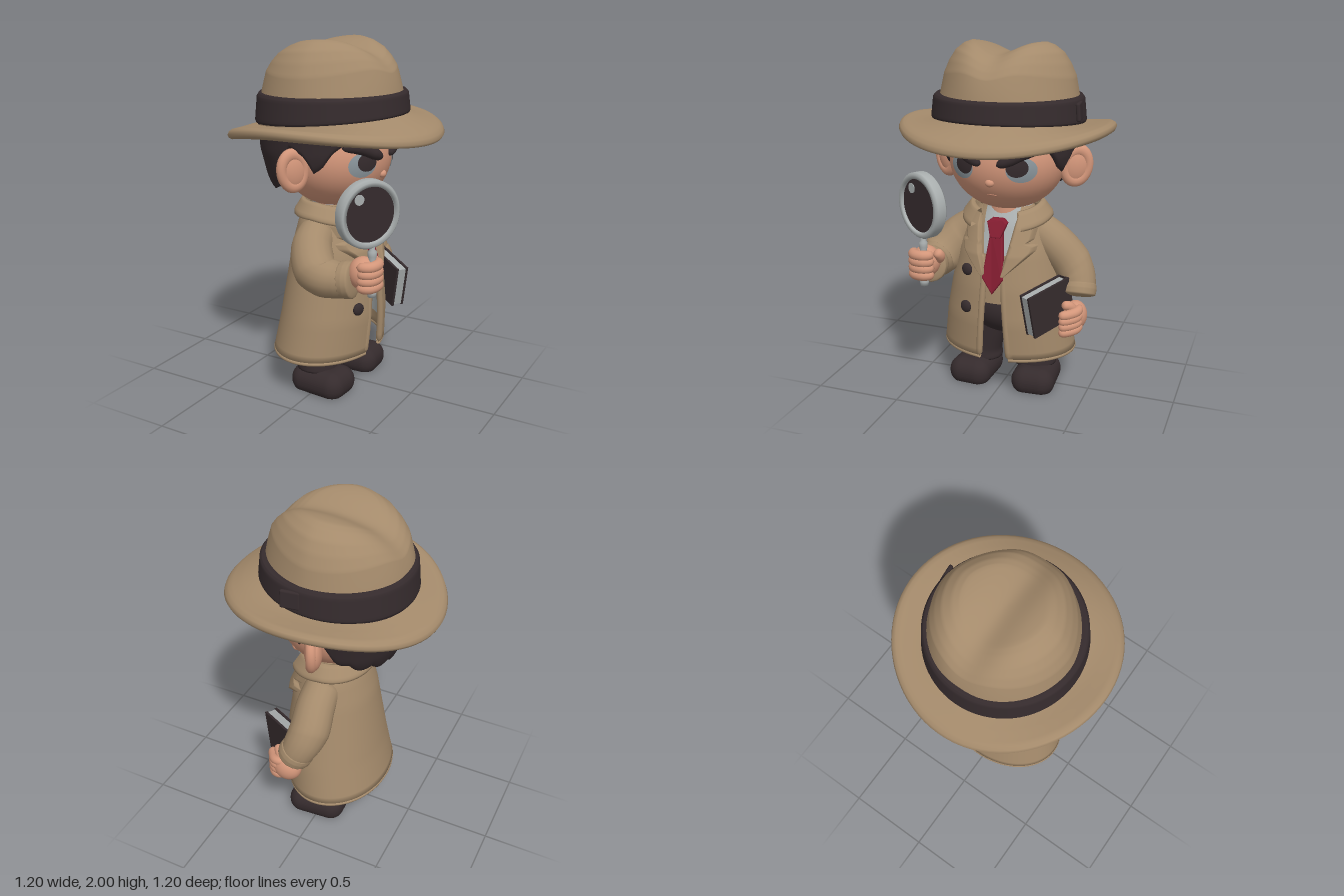
import * as THREE from 'three';
import { mergeVertices } from 'three/addons/utils/BufferGeometryUtils.js';
import { RoundedBoxGeometry } from 'three/addons/geometries/RoundedBoxGeometry.js';

const mat = (name, color) => new THREE.MeshStandardMaterial({ name, color, side: THREE.DoubleSide });
const { sin, cos, sqrt, min, max, abs, PI } = Math;

// Grid surface from a rule (u, v) -> [x, y, z]
function surf(fn, nu = 48, nv = 16) {
  const pos = [], idx = [];
  for (let j = 0; j <= nv; j++) for (let i = 0; i <= nu; i++) pos.push(...fn(i / nu, j / nv));
  for (let j = 0; j < nv; j++) for (let i = 0; i < nu; i++) {
    const a = j * (nu + 1) + i, b = a + nu + 1;
    idx.push(a, b, a + 1, b, b + 1, a + 1);
  }
  const g = new THREE.BufferGeometry();
  g.setAttribute('position', new THREE.Float32BufferAttribute(pos, 3));
  g.setIndex(idx);
  const m = mergeVertices(g, 1e-5);
  m.computeVertexNormals();
  return m;
}

// Linear lookup in rows sorted by their first column
function pick(rows, t) {
  let k = 0;
  while (k < rows.length - 2 && t > rows[k + 1][0]) k++;
  const a = rows[k], b = rows[k + 1], f = min(1, max(0, (t - a[0]) / (b[0] - a[0])));
  return a.map((v, i) => v + (b[i] - v) * f);
}

// Rounded limb through points [x, y, z, radius]
function limb(pts, end = 0.12, n = 24) {
  const curve = new THREE.CatmullRomCurve3(pts.map(p => new THREE.Vector3(p[0], p[1], p[2])));
  const fr = curve.computeFrenetFrames(n), rows = pts.map((p, i) => [i / (pts.length - 1), p[3]]);
  return surf((u, v) => {
    const i = Math.round(v * n), e = min(1, min(v, 1 - v) / end);
    const r = pick(rows, v)[1] * sqrt(1 - (1 - e) ** 2), c = curve.getPoint(v);
    c.addScaledVector(fr.normals[i], r * cos(u * 2 * PI)).addScaledVector(fr.binormals[i], r * sin(u * 2 * PI));
    return c.toArray();
  }, 18, n);
}

// Coat body: [y, half width, half depth, centre z] and half width of the front opening
const COAT = [[.22, .4, .3, -.04], [.45, .365, .285, -.01], [.65, .325, .265, 0], [.85, .28, .235, 0], [1, .235, .185, -.01], [1.09, .17, .14, -.02]];
const GAP = [[.22, .09], [.6, .065], [.75, .06], [.9, .09], [1.09, .12]];
const coatZ = (x, y) => { const [, rx, rz, cz] = pick(COAT, y); return cz + rz * sqrt(max(0, 1 - (x / rx) ** 2)); };
const headZ = (x, y) => .31 * sqrt(max(0, 1 - (x / .33) ** 2 - ((y - 1.36) / .29) ** 2));

export function createModel() {
  const tan = mat('tan cloth', 0xa48a6b), dark = mat('dark brown', 0x352b2d), skin = mat('skin', 0xd3967a);
  const red = mat('tie red', 0x841d31), grey = mat('light grey', 0xa9aeae), eyeGrey = mat('eye grey', 0x8c979d);
  const lip = mat('mouth brown', 0xb67d66);
  const root = new THREE.Group(), body = new THREE.Group();
  body.name = 'detective';
  body.rotation.y = PI / 2; // the figure looks along +x
  root.add(body);
  const add = (name, geo, m, p = [0, 0, 0], s = [1, 1, 1], r = [0, 0, 0], parent = body) => {
    const o = new THREE.Mesh(geo, m);
    o.name = name; o.position.set(...p); o.scale.set(...s); o.rotation.set(...r);
    parent.add(o);
    return o;
  };
  const ball = new THREE.SphereGeometry(1, 40, 28);

  // Hat: creased crown, band with bow, curved brim
  const CROWN = [[0, 1, 0], [.2, .93, .35], [.4, .88, .6], [.5, .81, .75], [.6, .72, .88], [.7, .6, .965], [.78, .5, 1], [1, 0, 1]];
  add('hatCrown', surf((u, v) => {
    const [, f, h0] = pick(CROWN, v), a = u * 2 * PI, h = h0 ** (1 - .58 * cos(a) ** 2);
    let x = .42 * f * sin(a);
    const z = -.02 + .41 * f * cos(a);
    x *= 1 - .25 * h * max(0, z / .4);
    const top = 2 - .55 * (z - .05) ** 2 - .058 * Math.exp(-((x / .11) ** 2));
    return [x, 1.54 + h * (top - 1.54), z];
  }, 72, 50), tan);
  const BAND = [[0, .39, 0], [.15, .425, 0], [.3, .43, .012], [.7, .418, .125], [.85, .405, .142], [1, .36, .14]];
  add('hatBand', surf((u, v) => {
    const [, r, h] = pick(BAND, v), a = u * 2 * PI, z = -.02 + r * cos(a);
    return [r * sin(a), 1.572 + (.08 - .4 * h) * z + h, z];
  }, 72, 20), dark);
  add('hatBow', new RoundedBoxGeometry(.024, .1, .11, 3, .011), dark, [.42, 1.645, .05], [1, 1, 1], [0, .12, .08]);
  const BRIM = [[0, 0, .02], [.4, .75, .03], [.46, .93, .029], [.48, .98, .018], [.5, 1, 0], [.52, .98, -.018], [.54, .93, -.029], [.6, .75, -.03], [1, 0, -.02]];
  add('hatBrim', surf((u, v) => {
    const [, t, dy] = pick(BRIM, v), a = u * 2 * PI, c = cos(a), s = sin(a), r = .22 + .38 * t;
    const inner = 1.56 + .04 * c, edge = 1.555 * s * s + c * c * (c > 0 ? 1.485 : 1.43);
    const dip = .02 * s * s * sin(PI * t); // sides sag slightly before curling up
    return [r * s, inner + (edge - inner) * max(0, (t - .3) / .7) ** 1.2 + dy - dip, r * c];
  }, 80, 50), tan);

  // Head and hair
  add('head', ball, skin, [0, 1.36, 0], [.33, .29, .31]);
  add('neck', new THREE.CylinderGeometry(.1, .11, .16, 28), skin, [0, 1.06, 0]);
  add('nose', ball, skin, [0, 1.275, .292], [.026, .022, .022]);
  add('mouth', limb([[-.03, 1.197, headZ(.03, 1.197), .003], [0, 1.203, headZ(0, 1.203), .004], [.03, 1.197, headZ(.03, 1.197), .003]]), lip);
  const EDGE = [[0, 1.5], [40, 1.47], [52, 1.42], [61, 1.34], [69, 1.31], [77, 1.4], [90, 1.45], [98, 1.36], [106, 1.25], [125, 1.18], [180, 1.12]];
  const HAIR = [[1.12, .3], [1.25, .35], [1.4, .388], [1.55, .4], [1.62, .38]];
  add('hair', surf((u, v) => {
    const a = (u * 2 - 1) * PI, d = abs(a) * 180 / PI;
    const low = pick(EDGE, d)[1] + (d > 112 ? .03 * (1 - abs(sin(d * PI / 24))) : 0);
    const y = v < .8 ? 1.62 + (low - 1.62) * v / .8 : low + .02 * (v - .8) / .2;
    const r = pick(HAIR, y)[1] * (v > .7 ? 1 - .28 * ((v - .7) / .3) ** 2 : 1);
    return [r * sin(a), y, -.06 + .9 * r * cos(a) * (cos(a) < 0 ? 1.04 : 1)];
  }, 120, 26), dark);

  // Face details laid on the head surface, ears
  const patch = (x, y, rx, ry, off) => surf((u, v) => {
    const px = x + rx * v * cos(u * 2 * PI), py = y + ry * v * sin(u * 2 * PI);
    return [px, py, headZ(px, py) + off];
  }, 32, 6);
  for (const s of [1, -1]) {
    const side = s > 0 ? 'left' : 'right';
    add(side + 'EyeWhite', patch(s * .168, 1.35, .075, .068, .004), eyeGrey);
    add(side + 'Pupil', patch(s * .15, 1.364, .055, .05, .008), dark);
    add(side + 'Brow', limb([[.045, 1.375, .022], [.11, 1.408, .034], [.19, 1.446, .036], [.255, 1.446, .02]]
      .map(([x, y, r]) => [s * x, y, headZ(x, y) + .006, r]), .2), dark);
    const ear = new THREE.Group();
    ear.name = side + 'Ear';
    ear.position.set(s * .375, 1.325, -.05);
    ear.rotation.set(0, s * .5, -s * .15);
    body.add(ear);
    add('earLobe', ball, skin, [0, 0, 0], [.085, .11, .048], [0, 0, 0], ear);
    add('earRim', new THREE.TorusGeometry(.066, .028, 14, 36), skin, [s * .005, .005, .014], [1, 1.3, 1], [0, 0, 0], ear);
  }

  // Coat shell with outer and inner layers
  add('coat', surf((u, v) => {
    const outer = v < .5, y = outer ? 1.09 - .87 * v * 2 : .22 + .87 * (v - .5) * 2;
    const [, rx, rz, cz] = pick(COAT, y), a0 = Math.asin(pick(GAP, y)[1] / rx), a = a0 + u * 2 * (PI - a0), k = outer ? 0 : .028;
    return [(rx - k) * sin(a), y, cz + (rz - k) * cos(a)];
  }, 72, 49), tan);
  add('coatHem', surf((u, v) => {
    const a0 = .227, a = a0 + u * 2 * (PI - a0), b = v * 2 * PI, k = -.014 + .0145 * cos(b);
    return [(.4 + k) * sin(a), .226 + .012 * sin(b), -.04 + (.3 + k) * cos(a)];
  }, 72, 10), tan);
  const torso = (y0, y1, k) => surf((u, v) => {
    const y = y0 + (y1 - y0) * v, [, rx, rz, cz] = pick(COAT, y), a = u * 2 * PI;
    return [(rx - k) * sin(a), y, cz + (rz - k) * cos(a)];
  }, 48, 12);
  add('vest', torso(.56, .84, .032), tan);
  add('shirt', torso(.82, 1.09, .036), grey);
  const LAPEL = [[.74, .07], [.87, .215], [.9, .22], [.915, .17], [.93, .2], [1, .21], [1.06, .15]];
  for (const s of [1, -1]) {
    const side = s > 0 ? 'left' : 'right';
    add(side + 'CoatEdge', limb([.225, .4, .6, .75, .85].map(y => {
      const x = pick(GAP, y)[1];
      return [s * x, y, coatZ(x, y) - .012, .018];
    }), .04), tan);
    add(side + 'Lining', surf((u, v) => {
      const y = .32 + .22 * v, [, rx, rz, cz] = pick(COAT, y), a = .38 + .8 * u;
      return [s * (rx - .033) * sin(a), y, cz + (rz - .033) * cos(a)];
    }, 16, 6), grey);
    add(side + 'Lapel', surf((u, v) => {
      const y = .74 + .32 * v, w = pick(GAP, y)[1] - .01;
      const x = w + (min(pick(LAPEL, y)[1], .9 * pick(COAT, y)[1]) - w) * u;
      return [s * x, y, coatZ(x, y) + .032 * min(1, 8 * u + .2, 8 * (1 - u))];
    }, 16, 40), tan);
  }
  // Turned-down collar
  const COLLAR = [[0, .8, 1.07], [.25, .84, 1.115], [.45, .95, 1.11], [.75, 1.15, 1.05], [.85, 1.16, 1.03], [1, 1, 1.035]];
  add('collar', surf((u, v) => {
    const a = .6 + u * 2 * (PI - .6), [, f, y] = pick(COLLAR, v);
    const droop = .04 * max(0, cos(a)) * f;
    return [.225 * f * sin(a), y - droop, -.01 + .185 * f * cos(a) + droop];
  }, 56, 20), tan);

  // Tie bent to the chest, buttons
  const drape = (pts, lift) => {
    const g = new THREE.ExtrudeGeometry(new THREE.Shape(pts.map(p => new THREE.Vector2(...p))),
      { depth: .02, bevelEnabled: true, bevelSize: .008, bevelThickness: .008, bevelSegments: 2 });
    const p = g.attributes.position;
    for (let i = 0; i < p.count; i++) p.setZ(i, p.getZ(i) + coatZ(0, p.getY(i)) + lift);
    g.computeVertexNormals();
    return g;
  };
  add('tie', drape([[-.028, .97], [-.055, .72], [0, .64], [.055, .72], [.028, .97]], -.018), red);
  add('tieKnot', drape([[-.024, .95], [-.05, 1.02], [-.03, 1.035], [.03, 1.035], [.05, 1.02], [.024, .95]], -.004), red);
  for (const y of [.74, .525]) add('coatButton', ball, dark, [-.168, y, coatZ(.168, y) + .004], [.036, .036, .02], [0, -.35, 0]);

  // Trousers and flat-bottomed round shoes
  add('trouserSeat', ball, dark, [0, .49, 0], [.25, .18, .2]);
  for (const s of [1, -1]) {
    const side = s > 0 ? 'left' : 'right';
    add(side + 'TrouserLeg', limb([[s * .13, .52, 0, .122], [s * .145, .3, -.02, .118], [s * .165, .19, -.022, .116], [s * .17, .11, -.022, .125]], .05), dark);
    const shoe = add(side + 'Shoe', new RoundedBoxGeometry(.25, .17, .345, 8, .082), dark, [s * .19, .055, .022], [1, 1, 1], [0, s * .06, 0]);
    const sp = shoe.geometry.attributes.position;
    for (let i = 0; i < sp.count; i++) {
      sp.setX(i, sp.getX(i) * (1 + .2 * sp.getZ(i)));
      sp.setY(i, max(-.055, sp.getY(i)));
    }
    shoe.geometry.computeVertexNormals();
  }

  // Sleeves with turned cuffs
  add('rightSleeve', limb([[-.16, .97, -.01, .1], [-.28, .88, .01, .115], [-.37, .775, .1, .122], [-.375, .765, .22, .1], [-.365, .775, .315, .09]], .08, 36), tan);
  add('rightCuff', limb([[-.37, .768, .235, .098], [-.365, .773, .28, .104], [-.36, .778, .325, .1]], .2), tan);
  add('leftSleeve', limb([[.16, .97, -.01, .1], [.28, .88, -.01, .11], [.385, .76, -.015, .115], [.432, .67, .02, .1], [.438, .6, .055, .09]], .08, 36), tan);
  add('leftCuff', limb([[.433, .675, .02, .097], [.436, .64, .037, .103], [.438, .595, .058, .098]], .2), tan);

  // Hands
  add('rightPalm', ball, skin, [-.35, .82, .365], [.08, .09, .08]);
  for (let i = 0; i < 4; i++) {
    const y = .758 + i * .038;
    add('rightFinger', limb([[-.42, y, .36, .027], [-.395, y, .425, .029], [-.33, y + .003, .442, .029], [-.28, y + .005, .41, .026]], .2, 16), skin);
  }
  add('rightThumb', limb([[-.3, .82, .34, .03], [-.265, .86, .37, .03], [-.275, .895, .4, .026]], .25, 16), skin);
  add('leftPalm', ball, skin, [.435, .5, .1], [.068, .085, .085]);
  for (let i = 0; i < 4; i++) {
    const y = .435 + i * .034;
    add('leftFinger', limb([[.465, y + .02, .1, .025], [.46, y + .01, .165, .027], [.415, y, .205, .027], [.375, y, .23, .024]], .2, 16), skin);
  }
  add('leftThumb', limb([[.44, .54, .13, .028], [.415, .575, .16, .028], [.385, .585, .19, .023]], .25, 16), skin);

  // Magnifying glass
  const glass = new THREE.Group();
  glass.name = 'magnifyingGlass';
  glass.position.set(-.352, 1.147, .39);
  glass.rotation.y = -.52;
  body.add(glass);
  const rim = [[.148, -.034], [.17, -.037], [.182, -.024], [.182, .024], [.17, .037], [.148, .034], [.148, -.034]].map(p => new THREE.Vector2(...p));
  add('lensRim', new THREE.LatheGeometry(rim, 56), grey, [0, 0, 0], [1, 1, 1], [PI / 2, 0, 0], glass);
  add('lens', new THREE.CylinderGeometry(.15, .15, .04, 48), dark, [0, 0, 0], [1, 1, 1], [PI / 2, 0, 0], glass);
  add('lensGlint', new THREE.CylinderGeometry(.028, .028, .004, 24), grey, [-.065, .085, .022], [1, 1, 1], [PI / 2, 0, 0], glass);
  const grip = [[0, .69], [.022, .695], [.026, .72], [.018, .74], [.018, .9], [.024, .92], [.024, .945], [.015, .955], [.015, .98]].map(p => new THREE.Vector2(...p));
  add('glassHandle', new THREE.LatheGeometry(grip, 24), grey, [.02, -1.147, .015], [1, 1, 1], [0, 0, 0], glass);

  // Book held against the coat
  const book = new THREE.Group();
  book.name = 'book';
  book.position.set(.3, .57, .19);
  book.rotation.set(0, 1, .2);
  body.add(book);
  for (const s of [1, -1]) add('bookCover', new THREE.BoxGeometry(.29, .25, .014), dark, [0, 0, s * .032], [1, 1, 1], [0, 0, 0], book);
  add('bookPages', new THREE.BoxGeometry(.275, .235, .054), grey, [-.005, 0, 0], [1, 1, 1], [0, 0, 0], book);
  add('bookSpine', new THREE.BoxGeometry(.012, .25, .078), dark, [.145, 0, 0], [1, 1, 1], [0, 0, 0], book);
  return root;
}
